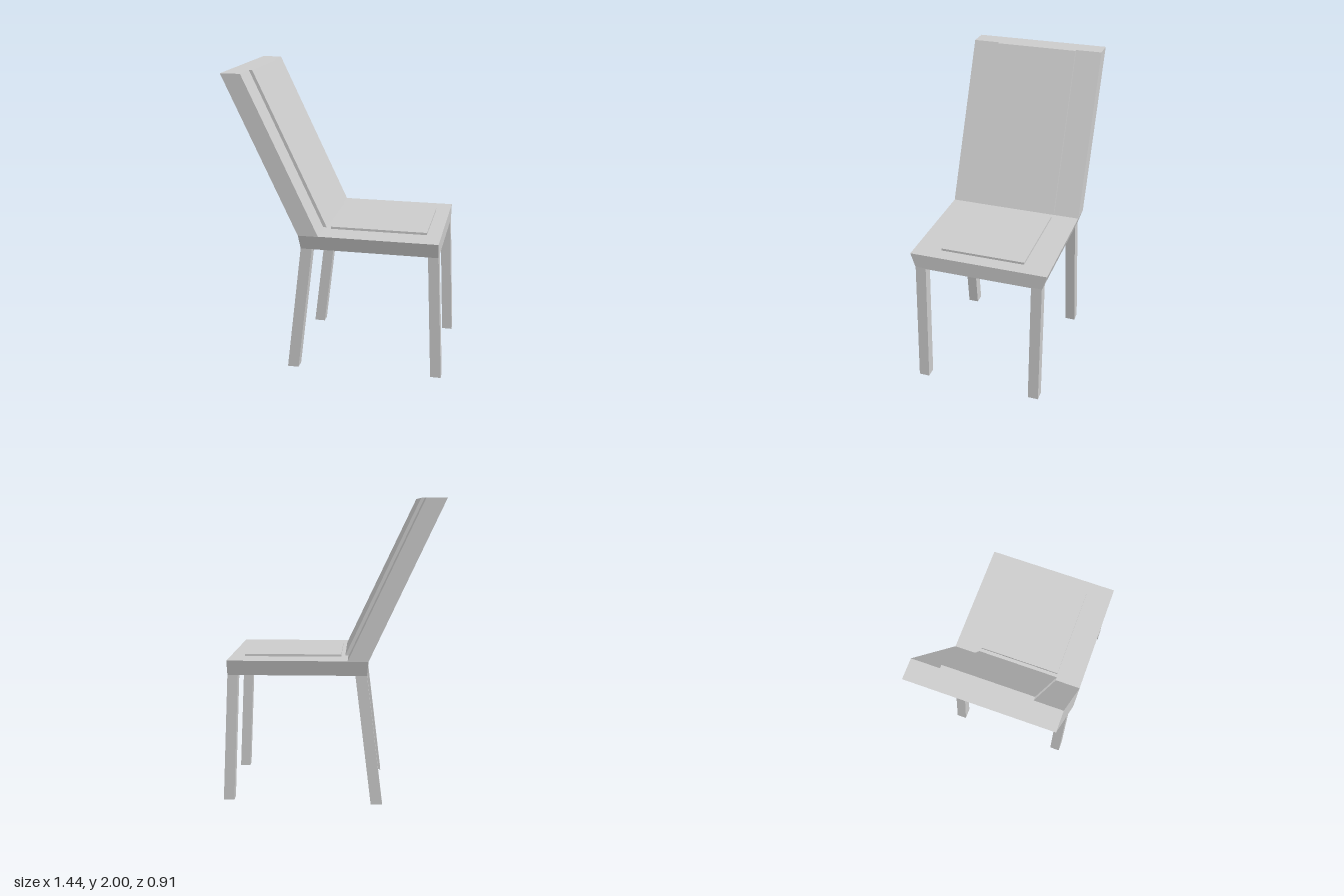
import * as THREE from 'three';

const material = new THREE.MeshStandardMaterial({ color: 0xcccccc, flatShading: true });

// Six-sided block between two level rectangles, each [x0, x1, y, z0, z1]
function block(name, bottom, top) {
  const geometry = new THREE.BoxGeometry(1, 1, 1);
  const p = geometry.attributes.position;
  for (let i = 0; i < p.count; i++) {
    const [x0, x1, y, z0, z1] = p.getY(i) > 0 ? top : bottom;
    p.setXYZ(i, p.getX(i) > 0 ? x1 : x0, y, p.getZ(i) > 0 ? z1 : z0);
  }
  geometry.computeVertexNormals();
  const mesh = new THREE.Mesh(geometry, material);
  mesh.name = name;
  return mesh;
}

export function createModel() {
  const chair = new THREE.Group();
  chair.name = 'chair';

  // Seat frame flares outward towards its top
  chair.add(block('seatFrame',
    [-0.225, 0.68, 0.865, -0.425, 0.425],
    [-0.235, 0.68, 0.965, -0.457, 0.457]));
  chair.add(block('seatPad',
    [-0.055, 0.585, 0.955, -0.28, 0.28],
    [-0.055, 0.585, 0.98, -0.28, 0.28]));

  // Leaning backrest with a level top, and its raised pad
  chair.add(block('backrest',
    [-0.235, -0.1, 0.963, -0.457, 0.457],
    [-0.72, -0.588, 2, -0.457, 0.457]));
  chair.add(block('backPad',
    [-0.13, -0.082, 0.975, -0.285, 0.285],
    [-0.61, -0.566, 2, -0.28, 0.28]));

  // Splayed legs
  for (const side of [-1, 1]) {
    const z0 = side * 0.39 - 0.035, z1 = side * 0.39 + 0.035;
    const label = side > 0 ? 'Left' : 'Right';
    chair.add(block('backLeg' + label,
      [-0.33, -0.255, 0, z0, z1], [-0.225, -0.15, 0.87, z0, z1]));
    chair.add(block('frontLeg' + label,
      [0.65, 0.72, 0.022, z0, z1], [0.612, 0.68, 0.87, z0, z1]));
  }
  return chair;
}
